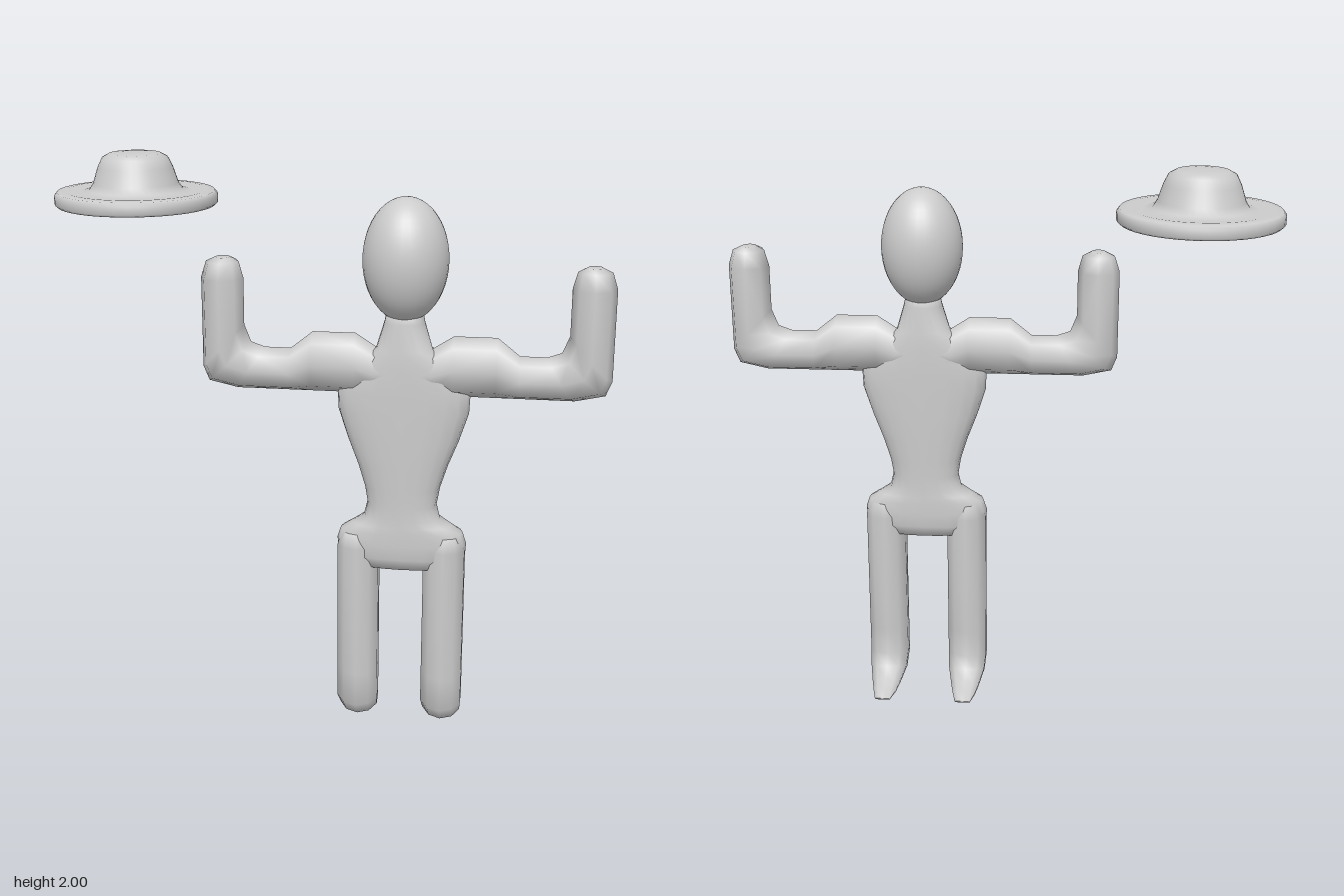
import * as THREE from 'three';

const material = new THREE.MeshStandardMaterial({ color: 0xcccccc });
const shellMaterial = new THREE.MeshStandardMaterial({ color: 0xcccccc, side: THREE.DoubleSide });

// Skin a row of rounded rings, closed at both ends. Each ring is [u1, v1, u2, v2, half]:
// two opposite points in a plane and the half width across that plane.
function loft(rings, place, { sides = 8, power = 2, flip = false } = {}) {
  const pos = [], index = [];
  const round = (t) => Math.sign(t) * Math.pow(Math.abs(t), 2 / power);
  const tri = (a, b, c) => (flip ? index.push(a, c, b) : index.push(a, b, c));
  for (const [u1, v1, u2, v2, half] of rings) {
    for (let j = 0; j < sides; j++) {
      const a = (j / sides) * Math.PI * 2;
      const c = round(Math.cos(a)), s = round(Math.sin(a));
      pos.push(...place((u1 + u2) / 2 + ((u2 - u1) / 2) * c, (v1 + v2) / 2 + ((v2 - v1) / 2) * c, half * s));
    }
  }
  for (let i = 0; i < rings.length - 1; i++) {
    for (let j = 0; j < sides; j++) {
      const k = (j + 1) % sides, p = i * sides, q = p + sides;
      tri(p + j, p + k, q + j);
      tri(p + k, q + k, q + j);
    }
  }
  const last = (rings.length - 1) * sides;
  for (let j = 1; j < sides - 1; j++) {
    tri(0, j + 1, j);
    tri(last, last + j, last + j + 1);
  }
  const geo = new THREE.BufferGeometry();
  geo.setAttribute('position', new THREE.Float32BufferAttribute(pos, 3));
  geo.setIndex(index);
  geo.computeVertexNormals();
  return geo;
}

function add(parent, name, geometry, mat = material) {
  const mesh = new THREE.Mesh(geometry, mat);
  mesh.name = name;
  parent.add(mesh);
  return mesh;
}

function createFigure() {
  const figure = new THREE.Group();
  figure.name = 'figure';

  // Head
  const head = add(figure, 'head', new THREE.SphereGeometry(1, 32, 24));
  head.scale.set(0.143, 0.207, 0.143);
  head.position.y = 1.688;

  // Neck, chest, waist and pelvis, from the top down: [height, half width, half depth]
  const torso = [
    [1.52, 0.06, 0.055], [1.48, 0.068, 0.06], [1.39, 0.095, 0.07], [1.33, 0.19, 0.074],
    [1.24, 0.225, 0.075], [1.17, 0.222, 0.075], [1.07, 0.19, 0.075], [0.98, 0.155, 0.074],
    [0.9, 0.13, 0.073], [0.84, 0.12, 0.072], [0.79, 0.132, 0.073], [0.765, 0.17, 0.074],
    [0.74, 0.212, 0.075], [0.7, 0.225, 0.075], [0.65, 0.222, 0.074], [0.61, 0.15, 0.06],
  ].map(([y, w, d]) => [-w, y, w, y, d]);
  add(figure, 'torso', loft(torso, (u, v, w) => [u, v, w], { sides: 20, power: 2.4 }));

  // Shoulder, upper arm, elbow, raised forearm and fist
  const arm = [
    [0.0, 1.24, 0.0, 1.37, 0.065], [0.095, 1.23, 0.095, 1.39, 0.075],
    [0.165, 1.228, 0.165, 1.435, 0.076], [0.31, 1.228, 0.31, 1.435, 0.076],
    [0.39, 1.228, 0.385, 1.375, 0.075], [0.57, 1.228, 0.475, 1.375, 0.075],
    [0.67, 1.25, 0.522, 1.392, 0.075], [0.69, 1.3, 0.545, 1.45, 0.075],
    [0.69, 1.61, 0.545, 1.61, 0.075], [0.672, 1.665, 0.56, 1.665, 0.055],
    [0.64, 1.68, 0.59, 1.68, 0.03],
  ];
  // Thigh, shin, heel and tapering foot
  const leg = [
    [0.06, 0.73, -0.06, 0.73, 0.06], [0.075, 0.68, -0.075, 0.68, 0.075],
    [0.075, 0.2, -0.075, 0.22, 0.075], [0.075, 0.08, -0.075, 0.12, 0.075],
    [0.02, 0.022, -0.105, 0.08, 0.07], [-0.11, 0.006, -0.155, 0.053, 0.054],
    [-0.16, 0.0, -0.195, 0.036, 0.044], [-0.24, 0.014, -0.24, 0.022, 0.03],
  ];
  for (const [side, s] of [['left', 1], ['right', -1]]) {
    add(figure, side + 'Arm', loft(arm, (u, v, w) => [u * s, v, w], { flip: s < 0 }));
    add(figure, side + 'Leg', loft(leg, (u, v, w) => [w + 0.15 * s, v, u], { sides: 10 }));
  }
  return figure;
}

// Hollow hat with a rolled brim, underside first and then the outside
function createHat() {
  const profile = [
    [0, 1.972], [0.075, 1.965], [0.105, 1.94], [0.13, 1.89], [0.16, 1.855], [0.2, 1.848],
    [0.235, 1.835], [0.25, 1.822], [0.27, 1.82], [0.279, 1.828], [0.28, 1.855], [0.27, 1.868],
    [0.24, 1.871], [0.19, 1.866], [0.16, 1.873], [0.146, 1.895], [0.128, 1.95],
    [0.112, 1.982], [0.088, 1.995], [0.045, 1.999], [0, 2],
  ].map(([r, y]) => new THREE.Vector2(r, y));
  return new THREE.LatheGeometry(profile, 40);
}

export function createModel() {
  const model = new THREE.Group();
  model.name = 'figureWithHat';
  const figure = createFigure();
  figure.position.set(0.27, 0, 0.15);
  model.add(figure);
  const hat = add(model, 'hat', createHat(), shellMaterial);
  hat.position.set(-0.68, 0, -0.015);
  return model;
}
